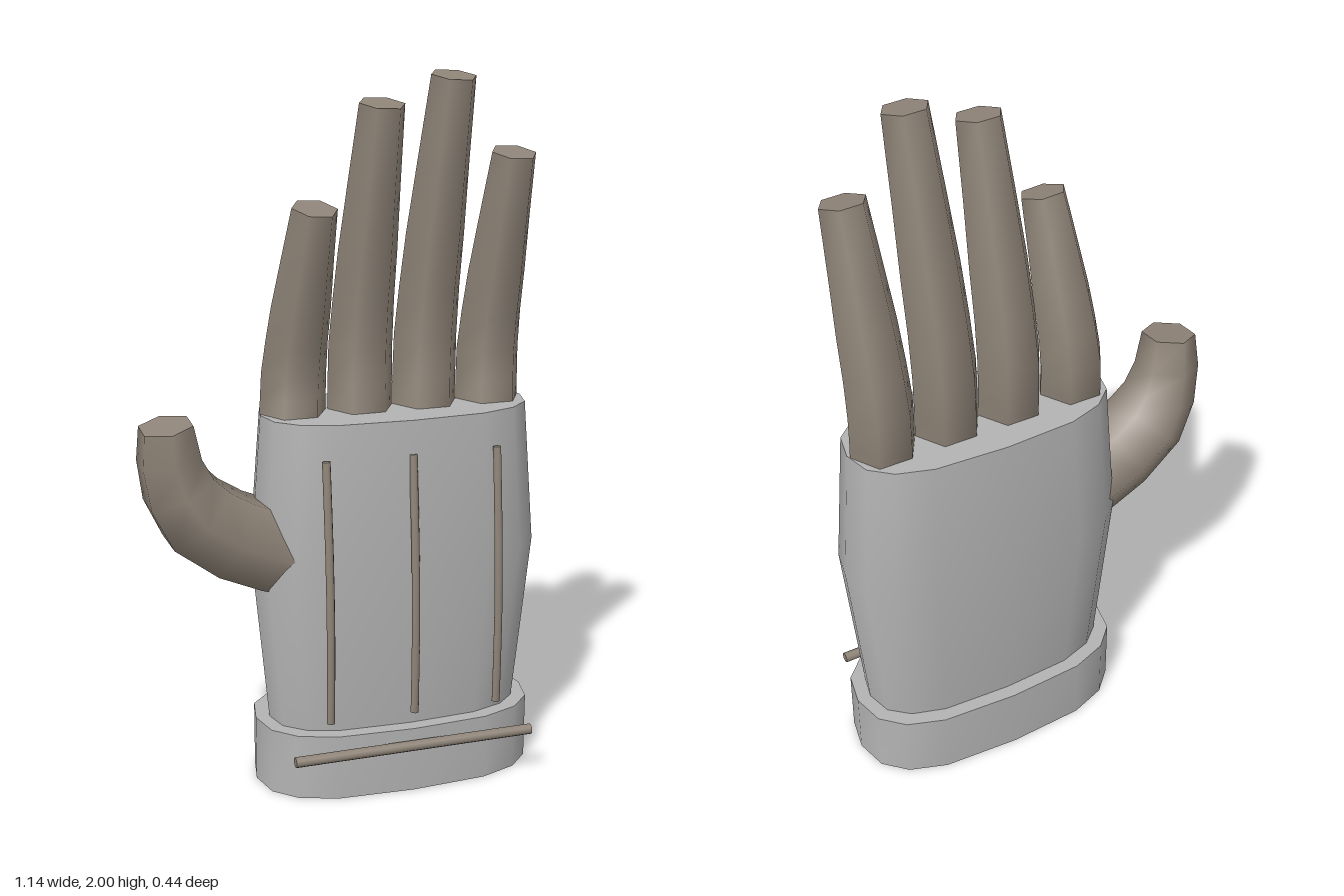
import * as THREE from 'three';

const skin = new THREE.MeshStandardMaterial({ color: 0x8f8478 });
skin.name = 'taupe';
const cloth = new THREE.MeshStandardMaterial({ color: 0xb4b4b4 });
cloth.name = 'light grey';

// Skin a list of equal rings: smooth sides, sharp flat caps at both ends
function loft(rings) {
  const n = rings[0].length;
  const pos = [];
  const index = [];
  const addRing = (ring) => {
    const start = pos.length / 3;
    ring.forEach((p) => pos.push(p.x, p.y, p.z));
    return start;
  };
  rings.forEach(addRing);
  for (let i = 0; i < rings.length - 1; i++) {
    for (let j = 0; j < n; j++) {
      const k = (j + 1) % n;
      const a = i * n + j, b = i * n + k;
      index.push(a, b, b + n, a, b + n, a + n);
    }
  }
  const bottom = addRing(rings[0]);
  const top = addRing(rings[rings.length - 1]);
  for (let j = 1; j < n - 1; j++) {
    index.push(bottom, bottom + j + 1, bottom + j);
    index.push(top, top + j, top + j + 1);
  }
  const geo = new THREE.BufferGeometry();
  geo.setAttribute('position', new THREE.Float32BufferAttribute(pos, 3));
  geo.setIndex(index);
  geo.computeVertexNormals();
  return geo;
}

// Tapered tube along a curve; side is the direction the ring's first corner points to
function taperedTube(points, radii, side, sides = 6, steps = 6) {
  const curve = new THREE.CatmullRomCurve3(points.map((p) => new THREE.Vector3(...p)));
  const rings = [];
  for (let i = 0; i <= steps; i++) {
    const t = i / steps;
    const c = curve.getPoint(t);
    const T = curve.getTangent(t);
    const U = side.clone().addScaledVector(T, -side.dot(T)).normalize();
    const V = new THREE.Vector3().crossVectors(T, U);
    const f = t * (radii.length - 1);
    const k = Math.min(Math.floor(f), radii.length - 2);
    const r = THREE.MathUtils.lerp(radii[k], radii[k + 1], f - k);
    rings.push(Array.from({ length: sides }, (_, j) => {
      const a = (j / sides) * Math.PI * 2;
      return c.clone().addScaledVector(U, r * Math.cos(a)).addScaledVector(V, r * Math.sin(a));
    }));
  }
  return loft(rings);
}

// Rounded-box cross-section shared by the palm and the cuff
function section(y, halfX, halfZ) {
  const bulge = (v, p) => Math.sign(v) * Math.pow(Math.abs(v), p);
  return Array.from({ length: 16 }, (_, j) => {
    const a = (j / 16) * Math.PI * 2;
    const c = Math.abs(Math.cos(a)) < 1e-6 ? 0 : Math.cos(a);
    const s = Math.abs(Math.sin(a)) < 1e-6 ? 0 : Math.sin(a);
    return new THREE.Vector3(0.155 + halfX * bulge(c, 0.64), y, -0.016 - halfZ * bulge(s, 0.82));
  });
}

export function createModel() {
  const group = new THREE.Group();
  const add = (name, geo, mat) => {
    const mesh = new THREE.Mesh(geo, mat);
    mesh.name = name;
    group.add(mesh);
  };
  const X = new THREE.Vector3(1, 0, 0);
  const Z = new THREE.Vector3(0, 0, 1);

  // Palm and cuff
  add('palm', loft([section(0.17, 0.366, 0.165), section(0.68, 0.415, 0.198), section(1.085, 0.384, 0.176)]), cloth);
  add('cuff', loft([section(0, 0.408, 0.208), section(0.19, 0.408, 0.208)]), cloth);

  // Fingers: base x, tip x, tip height
  const fingers = [
    ['littleFinger', -0.135, -0.095, 1.655],
    ['ringFinger', 0.06, 0.09, 1.922],
    ['middleFinger', 0.248, 0.289, 1.99],
    ['indexFinger', 0.439, 0.467, 1.782],
  ];
  for (const [name, x0, x1, top] of fingers) {
    const at = (t, z) => [x0 + (x1 - x0) * t, 1.04 + (top - 1.04) * t, z];
    add(name, taperedTube(
      [at(0, -0.022), at(0.25, -0.041), at(0.55, -0.008), at(1, 0.064)],
      [0.095, 0.093, 0.085, 0.064], X), skin);
  }

  // Thumb
  add('thumb', taperedTube(
    [[-0.12, 0.69, 0], [-0.27, 0.735, 0.005], [-0.42, 0.83, 0.015], [-0.485, 0.95, 0.025], [-0.503, 1.093, 0.04]],
    [0.13, 0.132, 0.125, 0.1, 0.077], Z), skin);

  // Raised cords on the front of the palm
  for (const x of [-0.095, 0.152, 0.398]) {
    add('cord', taperedTube(
      [[x, 0.245, 0.197], [x, 0.5, 0.2], [x, 0.74, 0.187], [x, 0.99, 0.16]],
      [0.012, 0.012], X, 8), skin);
  }

  // Bar across the cuff
  const bar = new THREE.CylinderGeometry(0.015, 0.015, 0.705, 10);
  bar.rotateZ(Math.PI / 2).translate(0.152, 0.145, 0.206);
  add('cuffBar', bar, skin);

  return group;
}
